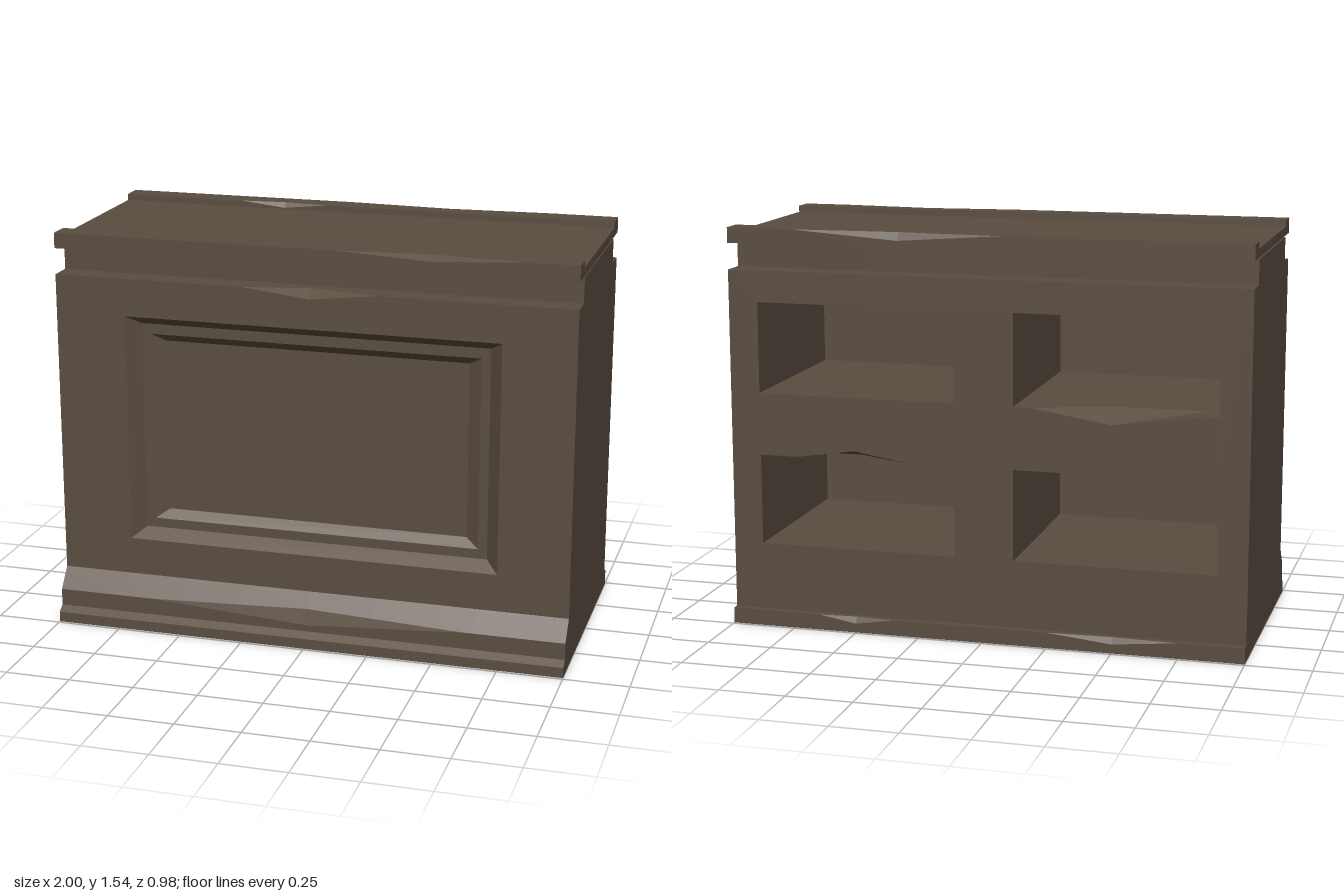
import * as THREE from 'three';

const wood = new THREE.MeshStandardMaterial({ color: 0x5a4d40 });
wood.name = 'darkWood';

function mesh(name, geometry) {
  const m = new THREE.Mesh(geometry, wood);
  m.name = name;
  return m;
}

// Flat-shaded geometry from a list of points, three per triangle
function fromTriangles(points) {
  const g = new THREE.BufferGeometry();
  g.setAttribute('position', new THREE.Float32BufferAttribute(points.flat(), 3));
  g.computeVertexNormals();
  return g;
}

const polygon = pts => new THREE.Shape(pts.map(([x, y]) => new THREE.Vector2(x, y)));

function plate(outline, holes, z) {
  const s = polygon(outline);
  holes.forEach(h => s.holes.push(new THREE.Path(h.map(([x, y]) => new THREE.Vector2(x, y)))));
  return new THREE.ShapeGeometry(s).translate(0, 0, z);
}

// Sweep a [z, y] profile along x; each chip pulls some profile points away
// between x[0] and x[2], most strongly at x[1]
function moulding(profile, chips, skip = []) {
  const stations = [...new Set([-1, 1, ...chips.flatMap(c => c.x)])].sort((a, b) => a - b);
  const section = x => profile.map(([z, y], i) => {
    for (const c of chips) {
      const [a, m, b] = c.x;
      const t = Math.max(0, Math.min((x - a) / (m - a), (b - x) / (b - m)));
      const d = c.move[i];
      if (d) { z += d[0] * t; y += d[1] * t; }
    }
    return [x, y, z];
  });
  const tris = [];
  for (let s = 0; s < stations.length - 1; s++) {
    const p = section(stations[s]), q = section(stations[s + 1]);
    profile.forEach((_, i) => {
      if (skip.includes(i)) return;
      const j = (i + 1) % profile.length;
      tris.push(p[i], q[j], q[i], p[i], p[j], q[j]);
    });
  }
  return fromTriangles(tris);
}

// Flat ends closing a moulding on both sides
function addEnds(group, name, profile) {
  const pts = profile.filter((p, i) => i === 0 || p.join() !== profile[i - 1].join());
  for (const side of [1, -1]) {
    const g = new THREE.ShapeGeometry(polygon(pts.map(([z, y]) => [-side * z, y])));
    g.rotateY(side * Math.PI / 2).translate(side, 0, 0);
    group.add(mesh(name, g));
  }
}

// Hollow facing +z, stepping through rings of equal length down to a flat floor
function recess(rings) {
  const tris = [];
  for (let r = 0; r < rings.length - 1; r++) {
    const p = rings[r], q = rings[r + 1];
    p.forEach((_, i) => {
      const j = (i + 1) % p.length;
      tris.push(p[i], p[j], q[j], p[i], q[j], q[i]);
    });
  }
  const last = rings[rings.length - 1];
  for (let i = 1; i < last.length - 1; i++) tris.push(last[0], last[i], last[i + 1]);
  return fromTriangles(tris);
}

const rect = (w, y0, y1, z) => [[-w, y0, z], [w, y0, z], [w, y1, z], [-w, y1, z]];

export function createModel() {
  const model = new THREE.Group();
  model.name = 'counter';

  // Body: plinth, walls and narrow neck (doubled points are chipped edges)
  const body = [
    [0.49, 0], [-0.49, 0], [-0.49, 0.06], [-0.49, 0.06], [-0.46, 0.06],
    [-0.46, 1.38], [-0.36, 1.38], [-0.36, 1.475], [0.305, 1.475], [0.305, 1.38],
    [0.4, 1.38], [0.4, 1.38], [0.4, 0.2], [0.46, 0.125], [0.46, 0.125],
    [0.46, 0.06], [0.49, 0.04],
  ];
  const backChip = { 2: [0, -0.025], 3: [0.012, 0] };
  model.add(mesh('body', moulding(body, [
    { x: [-0.75, -0.5, -0.25], move: backChip },
    { x: [0.35, 0.5, 0.65], move: backChip },
    { x: [-0.26, 0, 0.26], move: { 10: [-0.05, 0], 11: [0, -0.03] } },
    { x: [-0.62, 0, 0.62], move: { 13: [-0.016, 0.02], 14: [0, -0.04] } },
  ], [4, 11])));
  addEnds(model, 'bodySide', body);

  // Top slab with a raised lip along the front and back
  const slab = [
    [0.4, 1.481], [-0.46, 1.481], [-0.46, 1.54], [-0.46, 1.54], [-0.37, 1.54],
    [-0.37, 1.54], [-0.37, 1.515], [0.31, 1.515], [0.31, 1.54], [0.4, 1.54], [0.4, 1.54],
  ];
  model.add(mesh('top', moulding(slab, [
    { x: [-0.07, 0.33, 0.75], move: { 2: [0, -0.03], 3: [0.022, 0] } },
    { x: [-0.51, -0.33, -0.15], move: { 4: [-0.015, 0], 5: [0, -0.02] } },
    { x: [0.1, 0.46, 0.82], move: { 9: [-0.033, 0], 10: [0, -0.02] } },
  ])));
  addEnds(model, 'topEnd', slab);

  // Front face and its twice-stepped panel
  const panel = [
    rect(0.725, 0.345, 1.235, 0.4), rect(0.675, 0.383, 1.2, 0.35),
    rect(0.64, 0.42, 1.16, 0.35), rect(0.59, 0.453, 1.13, 0.32),
  ];
  model.add(mesh('frontFace', plate(
    [[-1, 0.2], [1, 0.2], [1, 1.38], [0.26, 1.38], [0, 1.35], [-0.26, 1.38], [-1, 1.38]],
    [panel[0]], 0.4)));
  model.add(mesh('frontPanel', recess(panel)));

  // Back: four cubbies, two with a chipped shelf edge, built facing +z then turned
  const back = new THREE.Group();
  back.name = 'back';
  back.rotation.y = Math.PI;
  const holes = [];
  for (const column of [-1, 1]) {
    for (const [y0, y1] of [[0.32, 0.67], [0.91, 1.26]]) {
      const x0 = column < 0 ? -0.885 : 0.115, x1 = x0 + 0.77;
      const floorDip = column > 0 && y0 > 0.8 ? 0.05 : 0;
      const roofDip = column < 0 && y0 < 0.8 ? 0.035 : 0;
      const ring = (z, k) => [
        [x0, y0, z], [x0 + 0.06, y0, z], [x0 + 0.37, y0 - floorDip * k, z],
        [x1 - 0.06, y0, z], [x1, y0, z], [x1, y1, z], [x1 - 0.18, y1, z],
        [x0 + 0.375, y1 + roofDip * k, z], [x0 + 0.15, y1, z], [x0, y1, z],
      ];
      const rings = [ring(0.46, 1), ring(0.36, 0), ring(-0.27, 0)];
      holes.push(rings[0]);
      back.add(mesh('cubby', recess(rings)));
    }
  }
  back.add(mesh('backFace', plate([[-1, 0.06], [1, 0.06], [1, 1.38], [-1, 1.38]], holes, 0.46)));
  model.add(back);

  return model;
}
